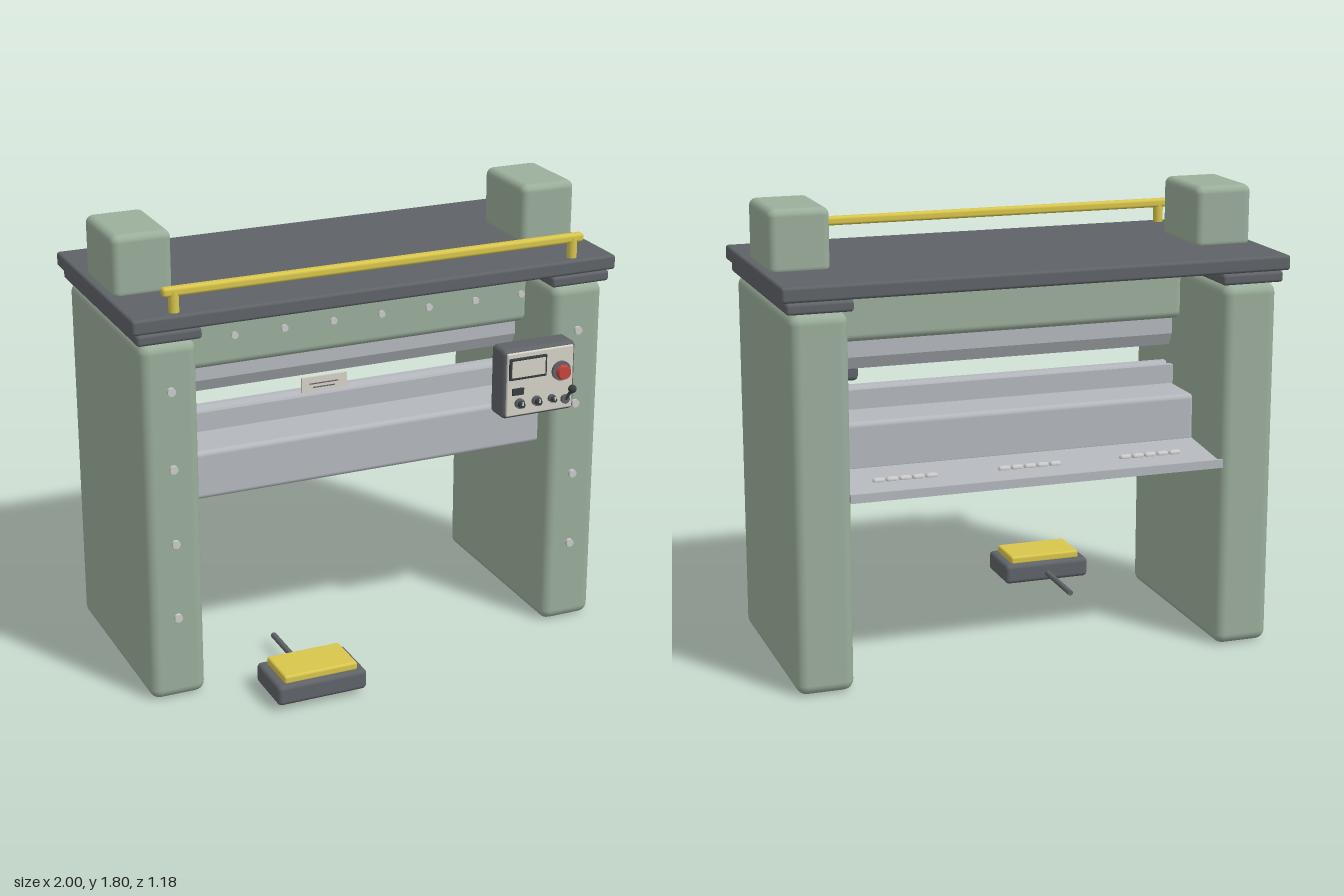
import * as THREE from 'three';
import { RoundedBoxGeometry } from 'three/addons/geometries/RoundedBoxGeometry.js';

const mat = (color) => new THREE.MeshStandardMaterial({ color });
const GREEN = mat(0x9bae9b), DARK = mat(0x5f6367), STEEL = mat(0xb4b8bd), YELLOW = mat(0xd8c64c);
const BEIGE = mat(0xd6d2c8), RED = mat(0xc8453c), BLACK = mat(0x3a3d40), LIGHT = mat(0xcccccc);

export function createModel() {
  const model = new THREE.Group();

  const add = (name, geometry, material, x = 0, y = 0, z = 0) => {
    const mesh = new THREE.Mesh(geometry, material);
    mesh.name = name;
    mesh.position.set(x, y, z);
    model.add(mesh);
    return mesh;
  };
  // Block given by its limits on each axis; r rounds the edges
  const block = (name, material, [x0, x1], [y0, y1], [z0, z1], r = 0) => {
    const w = x1 - x0, h = y1 - y0, d = z1 - z0;
    const geometry = r ? new RoundedBoxGeometry(w, h, d, 3, r) : new THREE.BoxGeometry(w, h, d);
    return add(name, geometry, material, (x0 + x1) / 2, (y0 + y1) / 2, (z0 + z1) / 2);
  };
  // Cylinder pointing along z
  const peg = (name, material, x, y, z0, z1, r0, r1 = r0) => {
    const geometry = new THREE.CylinderGeometry(r1, r0, z1 - z0, 20).rotateX(Math.PI / 2);
    return add(name, geometry, material, x, y, (z0 + z1) / 2);
  };
  // Side profile of [z, y] points, extruded along x
  const profile = (name, material, points, width) => {
    const shape = new THREE.Shape(points.map(([z, y]) => new THREE.Vector2(-z, y)));
    const geometry = new THREE.ExtrudeGeometry(shape, { depth: width, bevelEnabled: false });
    geometry.translate(0, 0, -width / 2).rotateY(Math.PI / 2);
    return add(name, geometry, material);
  };

  // Side columns with caps, top housings and bolts
  for (const s of [-1, 1]) {
    const span = (a, b) => (s > 0 ? [a, b] : [-b, -a]);
    block('sideColumn', GREEN, span(0.743, 0.965), [0, 1.457], [-0.556, 0.318], 0.04);
    block('columnCap', DARK, span(0.728, 0.98), [1.462, 1.505], [-0.571, 0.333], 0.012);
    block('topHousing', GREEN, span(0.737, 0.972), [1.55, 1.8], [-0.287, 0.05], 0.03);
    for (const y of [0.345, 0.655, 0.96, 1.27]) peg('columnBolt', LIGHT, s * 0.853, y, 0.31, 0.333, 0.016);
    add('railPost', new THREE.CylinderGeometry(0.02, 0.02, 0.15, 20), YELLOW, s * 0.825, 1.575, 0.3);
  }

  // Top plate and front rail
  block('topPlate', DARK, [-1, 1], [1.51, 1.569], [-0.59, 0.346], 0.012);
  block('frontRail', YELLOW, [-0.87, 0.87], [1.63, 1.666], [0.28, 0.317], 0.012);

  // Upper beam with its row of bolts and the punch below
  block('upperBeam', GREEN, [-0.75, 0.75], [1.248, 1.512], [-0.14, 0.092], 0.03);
  for (let i = 0; i < 8; i++) peg('beamBolt', LIGHT, -0.718 + i * 0.205, 1.37, 0.085, 0.102, 0.014);
  profile('punch', STEEL, [[-0.055, 1.26], [-0.055, 1.17], [-0.03, 1.12], [-0.02, 1.12], [0.005, 1.17], [0.005, 1.26]], 1.49);

  // Lower bed, grooved die and rear tray
  block('lowerBed', STEEL, [-0.75, 0.75], [0.772, 0.968], [-0.275, 0.225], 0.02);
  profile('die', STEEL, [[-0.075, 0.96], [0.025, 0.96], [0.025, 1.045], [0, 1.045], [-0.025, 1.015], [-0.05, 1.045], [-0.075, 1.045]], 1.49);
  profile('rearTray', STEEL, [[-0.25, 0.765], [-0.25, 0.79], [-0.54, 0.762], [-0.55, 0.772], [-0.56, 0.772], [-0.56, 0.738]], 1.5);
  for (const x of [-0.5, 0, 0.5]) {
    for (let i = -2; i <= 2; i++) {
      const pin = new THREE.CapsuleGeometry(0.012, 0.025, 4, 10).rotateZ(Math.PI / 2);
      add('trayPin', pin, LIGHT, x + i * 0.052, 0.776, -0.42);
    }
  }

  // Hanging sign plate with plain bars
  block('signPlate', BEIGE, [-0.35, -0.165], [1.2, 1.26], [0.355, 0.364]);
  block('signBar', DARK, [-0.32, -0.2], [1.231, 1.235], [0.362, 0.366]);
  block('signBar', DARK, [-0.305, -0.215], [1.216, 1.22], [0.362, 0.366]);

  // Control box
  block('controlBox', DARK, [0.472, 0.79], [0.982, 1.267], [0.315, 0.425], 0.02);
  block('controlFace', BEIGE, [0.485, 0.777], [0.994, 1.255], [0.415, 0.431], 0.006);
  block('screenFrame', BLACK, [0.492, 0.657], [1.145, 1.235], [0.425, 0.438], 0.005);
  block('screen', BEIGE, [0.502, 0.647], [1.157, 1.225], [0.43, 0.441]);
  block('smallDisplay', BLACK, [0.507, 0.557], [1.083, 1.11], [0.425, 0.439]);
  peg('stopButtonCollar', DARK, 0.72, 1.157, 0.425, 0.442, 0.04);
  peg('stopButtonStem', RED, 0.72, 1.157, 0.44, 0.455, 0.018);
  peg('stopButton', RED, 0.72, 1.157, 0.45, 0.47, 0.03, 0.026);
  for (const [x, r] of [[0.54, 0.02], [0.615, 0.02], [0.683, 0.016]]) {
    peg('knobBase', DARK, x, 1.047, 0.425, 0.445, r);
    peg('knob', BLACK, x, 1.047, 0.44, 0.463, r * 0.7, r * 0.6);
    block('knobGrip', LIGHT, [x - 0.003, x + 0.003], [1.047, 1.06], [0.46, 0.466]);
  }
  peg('leverBase', DARK, 0.742, 1.035, 0.425, 0.445, 0.018);
  const leverPath = new THREE.LineCurve3(new THREE.Vector3(0.742, 1.035, 0.44), new THREE.Vector3(0.763, 1.078, 0.455));
  add('lever', new THREE.TubeGeometry(leverPath, 1, 0.007, 10), BLACK);
  add('leverBall', new THREE.SphereGeometry(0.017, 16, 12), BLACK, 0.763, 1.08, 0.455);

  // Foot pedal with its cable
  block('pedalBase', DARK, [-0.55, -0.178], [0.022, 0.106], [0.356, 0.59], 0.018);
  block('pedalPad', YELLOW, [-0.515, -0.21], [0.1, 0.135], [0.38, 0.568], 0.01);
  peg('pedalCable', DARK, -0.365, 0.056, 0.08, 0.37, 0.012);

  return model;
}
